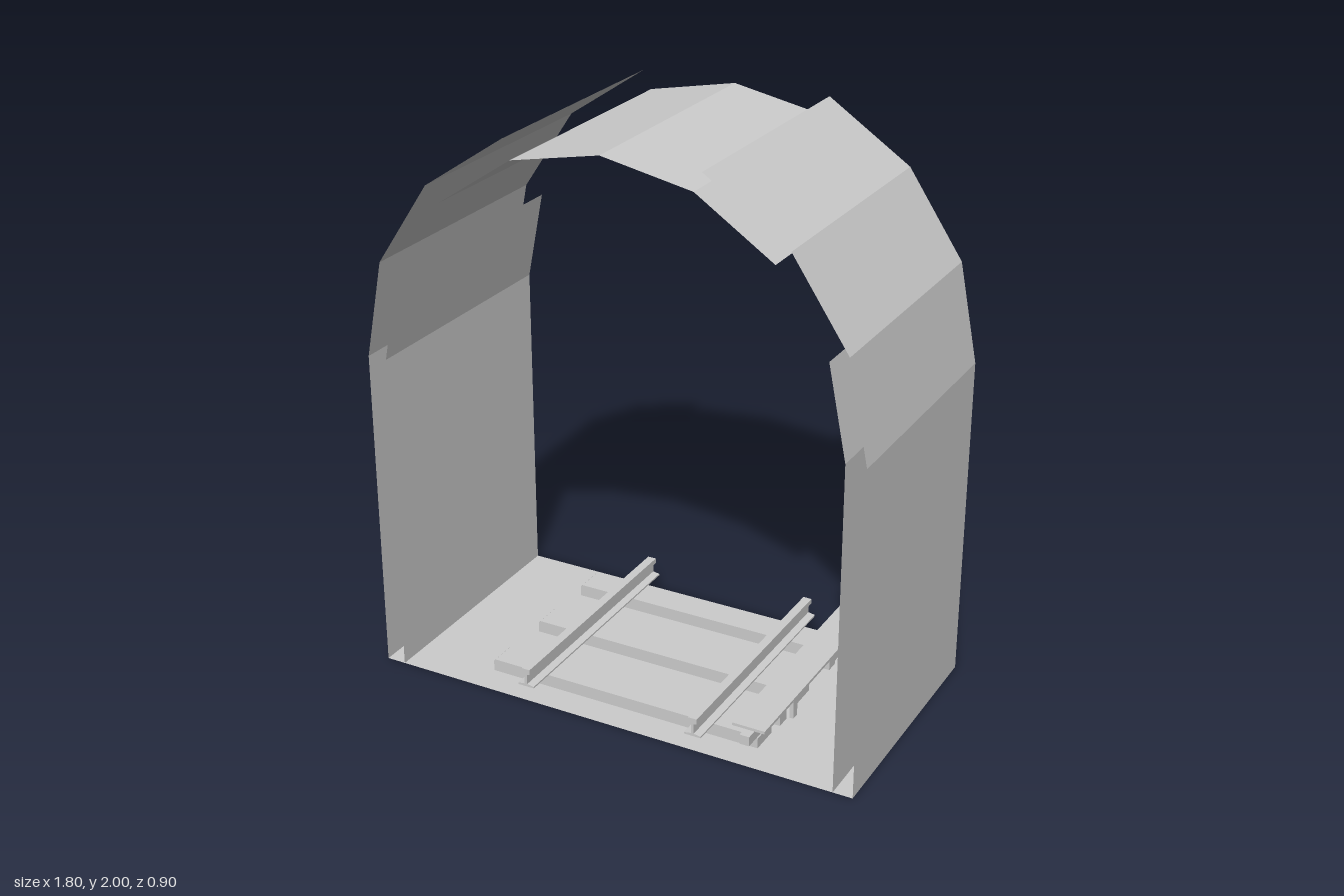
import * as THREE from 'three';

const LENGTH = 0.9;
const SPRING = 1.17; // height where the arch starts

export function createModel() {
  const concrete = new THREE.MeshStandardMaterial({ color: 0xcccccc, side: THREE.DoubleSide });
  concrete.name = 'light grey';
  const model = new THREE.Group();
  model.name = 'tunnelSection';

  function add(name, geometry, x = 0, y = 0, z = 0) {
    const mesh = new THREE.Mesh(geometry, concrete);
    mesh.name = name;
    mesh.position.set(x, y, z);
    model.add(mesh);
  }
  const box = (name, w, h, d, x, y, z) => add(name, new THREE.BoxGeometry(w, h, d), x, y, z);

  // Flat-faceted thin sheet: an open x/y line swept along z
  function sheet(points) {
    const pos = [];
    const h = LENGTH / 2;
    for (let i = 0; i < points.length - 1; i++) {
      const [ax, ay] = points[i], [bx, by] = points[i + 1];
      pos.push(ax, ay, h, ax, ay, -h, bx, by, -h, ax, ay, h, bx, by, -h, bx, by, h);
    }
    const g = new THREE.BufferGeometry();
    g.setAttribute('position', new THREE.Float32BufferAttribute(pos, 3));
    g.computeVertexNormals();
    return g;
  }

  // Closed x/y outline extruded along z, centred
  function prism(points, depth) {
    const shape = new THREE.Shape(points.map(([x, y]) => new THREE.Vector2(x, y)));
    return new THREE.ExtrudeGeometry(shape, { depth, bevelEnabled: false }).translate(0, 0, -depth / 2);
  }

  // Arch point; steps of 22.5 degrees counted from the +x springing
  const arch = (r, step) => {
    const a = step * Math.PI / 8;
    return [r * Math.cos(a), SPRING + r * Math.sin(a)];
  };

  // Floor
  add('floor', sheet([[0.9, 0], [-0.9, 0]]));

  // Outer and inner wall linings, mirrored left and right
  for (const s of [1, -1]) {
    const side = s > 0 ? 'left' : 'right';
    const flip = pts => (s > 0 ? pts : pts.map(([x, y]) => [-x, y]).reverse());
    add(side + 'OuterWall', sheet(flip([[0.9, 0], ...[0, 1, 2, 3].map(i => arch(0.9, i))])));
    add(side + 'InnerWall', sheet(flip([[0.83, 0], ...[0, 1].map(i => arch(0.83, i))])));
  }

  // Crown of the vault
  add('crown', sheet([2, 3, 4, 5, 6].map(i => arch(0.83, i))));

  // Sleepers with chamfered top ends
  const sleeper = prism([[-0.515, 0.01], [0.515, 0.01], [0.515, 0.048], [0.508, 0.055],
    [-0.508, 0.055], [-0.515, 0.048]], 0.105);
  for (const z of [-0.3, 0, 0.3]) add('sleeper', sleeper, 0, 0, z);

  // Running rails with an I-shaped section
  const half = [[0.031, 0.055], [0.031, 0.061], [0.005, 0.065], [0.005, 0.102],
    [0.016, 0.104], [0.016, 0.123]];
  const rail = prism([...half, ...half.map(([x, y]) => [-x, y]).reverse()], LENGTH);
  for (const x of [-0.322, 0.322]) add('rail', rail, x);

  // Power rail on blocks, under a cover board carried by hanging brackets
  box('powerRail', 0.035, 0.035, LENGTH, 0.513, 0.0975, 0);
  box('coverBoard', 0.117, 0.01, LENGTH, 0.527, 0.148, 0);
  for (const z of [-0.2, 0.2]) {
    box('railBlock', 0.045, 0.05, 0.05, 0.513, 0.055, z);
    box('coverBracket', 0.014, 0.077, 0.03, 0.572, 0.1045, z);
  }
  return model;
}
